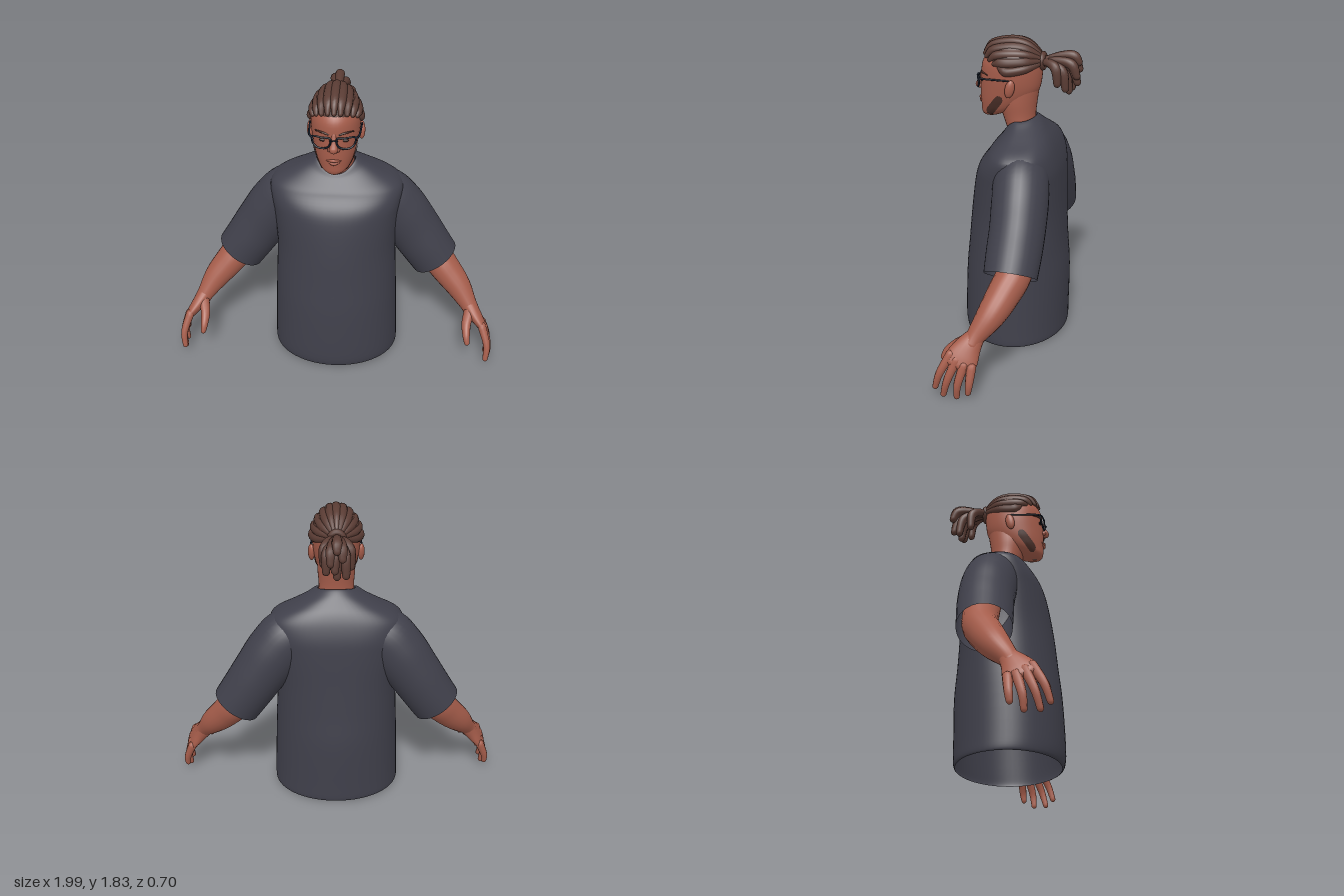
import * as THREE from 'three';

const V = (x, y, z) => new THREE.Vector3(x, y, z);
const mat = (name, color, side = THREE.FrontSide) => {
  const m = new THREE.MeshStandardMaterial({ color, side });
  m.name = name;
  return m;
};

// Catmull-Rom interpolation over rows of numbers
function spline(rows, steps) {
  const out = [], n = rows.length;
  for (let i = 0; i < n - 1; i++) {
    const [a, b, c, d] = [rows[Math.max(i - 1, 0)], rows[i], rows[i + 1], rows[Math.min(i + 2, n - 1)]];
    for (let s = 0; s < steps; s++) {
      const t = s / steps;
      out.push(b.map((_, k) => b[k] + 0.5 * t * (c[k] - a[k] + t * (2 * a[k] - 5 * b[k] + 4 * c[k] - d[k]
        + t * (3 * (b[k] - c[k]) + d[k] - a[k])))));
    }
  }
  out.push(rows[n - 1].slice());
  return out;
}

// Skin a list of closed rings of points
function skin(rings) {
  const n = rings[0].length, pos = [], idx = [];
  rings.forEach(r => r.forEach(p => pos.push(p.x, p.y, p.z)));
  for (let j = 0; j < rings.length - 1; j++) for (let i = 0; i < n; i++) {
    const a = j * n + i, b = j * n + (i + 1) % n;
    idx.push(a, b, b + n, a, b + n, a + n);
  }
  const g = new THREE.BufferGeometry();
  g.setAttribute('position', new THREE.Float32BufferAttribute(pos, 3));
  g.setIndex(idx);
  g.computeVertexNormals();
  return g;
}

// Stack of level ovals; rows are [y, halfWidth, frontZ, backZ, frontDrop, backRise, frontSquareness, backSquareness]
function stack(rows, seg = 40, steps = 4) {
  const full = rows.map(r => [...r, ...[0, 0, 2, 2].slice(r.length - 4)]);
  return skin(spline(full, steps).map(([y, hx, zf, zb, drop, rise, pf, pb]) =>
    Array.from({ length: seg }, (_, i) => {
      const a = i / seg * Math.PI * 2, c = Math.cos(a), s = -Math.sin(a), e = 2 / (s > 0 ? pf : pb);
      return V(hx * Math.sign(c) * Math.abs(c) ** e, y + (s > 0 ? -drop * s * s : rise * s * s),
        (zf + zb) / 2 + Math.sign(s) * Math.abs(s) ** e * (zf - zb) / 2);
    })));
}

// Tapered tube; rows are [x, y, z, radiusAlongSide, otherRadius]
function limb(rows, side = V(0, 0, 1), seg = 12, steps = 5, capped = true) {
  const pts = spline(rows.map(r => r.length < 5 ? [...r, r[3]] : r), steps);
  const at = i => V(pts[i][0], pts[i][1], pts[i][2]);
  const ring = (i, k) => {
    const w = at(Math.min(i + 1, pts.length - 1)).sub(at(Math.max(i - 1, 0))).normalize();
    const u = side.clone().addScaledVector(w, -side.dot(w)).normalize();
    const v = w.clone().cross(u), [, , , ra, rb] = pts[i];
    const c = at(i).addScaledVector(w, Math.sin(k) * Math.min(ra, rb));
    return Array.from({ length: seg }, (_, j) => {
      const a = j / seg * Math.PI * 2, q = Math.cos(k);
      return c.clone().addScaledVector(u, ra * q * Math.cos(a)).addScaledVector(v, rb * q * Math.sin(a));
    });
  };
  const rings = pts.map((_, i) => ring(i, 0));
  if (capped) for (const k of [0.5, 1, 1.35, Math.PI / 2]) {
    rings.unshift(ring(0, -k));
    rings.push(ring(pts.length - 1, k));
  }
  return skin(rings);
}

function mirrored(geo) {
  const g = geo.clone().scale(-1, 1, 1), ix = g.index.array;
  for (let i = 0; i < ix.length; i += 3) [ix[i], ix[i + 1]] = [ix[i + 1], ix[i]];
  g.computeVertexNormals();
  return g;
}

function ball(x, y, z, rx, ry, rz) {
  return new THREE.SphereGeometry(1, 20, 14).scale(rx, ry, rz).translate(x, y, z);
}

export function createModel() {
  const root = new THREE.Group();
  root.name = 'figure';
  const shirt = mat('charcoal cloth', 0x40404b, THREE.DoubleSide);
  const skinTone = mat('skin', 0xa65d4b);
  const hair = mat('brown hair', 0x5a3c34);
  const beard = mat('dark beard', 0x4a2f28, THREE.DoubleSide);
  const frame = mat('navy frame', 0x18202e);
  const eyeDark = mat('dark eye', 0x35241f);
  const add = (name, geo, m) => {
    const mesh = new THREE.Mesh(geo, m);
    mesh.name = name;
    root.add(mesh);
  };
  const pair = (name, geo, m) => {
    add('left' + name, geo, m);
    add('right' + name, mirrored(geo), m);
  };

  // Loose shirt with an open hem and collar
  add('shirtBody', stack([
    [0.012, 0.385, 0.325, -0.28], [0.03, 0.392, 0.342, -0.29], [0.12, 0.39, 0.35, -0.292],
    [0.4, 0.38, 0.34, -0.295], [0.6, 0.37, 0.32, -0.278, 0, 0, 2, 2.2], [0.8, 0.362, 0.3, -0.265, 0, 0, 2, 2.5],
    [1.0, 0.375, 0.268, -0.255, 0, 0, 2.2, 2.9], [1.1, 0.388, 0.235, -0.245, 0, 0, 2.4, 3.1],
    [1.18, 0.392, 0.185, -0.22, 0.01, 0.01, 2.5, 3], [1.225, 0.35, 0.165, -0.19, 0.025, 0.03, 2.4, 2.8],
    [1.27, 0.265, 0.14, -0.155, 0.04, 0.035, 2.2, 2.5], [1.32, 0.175, 0.11, -0.12, 0.055, 0.03],
    [1.355, 0.12, 0.095, -0.092, 0.07, 0.02], [1.345, 0.108, 0.085, -0.082, 0.07, 0.02]], 64), shirt);
  pair('Sleeve', limb([
    [0.12, 1.13, -0.03, 0.11, 0.09], [0.26, 1.085, -0.055, 0.155, 0.163], [0.36, 0.98, -0.072, 0.163, 0.174],
    [0.46, 0.84, -0.08, 0.16, 0.165], [0.54, 0.72, -0.078, 0.158, 0.158],
    [0.613, 0.612, -0.075, 0.152, 0.152]], V(0, 0, 1), 32, 6, false), shirt);

  // Arms and hands
  pair('Arm', limb([
    [0.46, 0.84, -0.09, 0.1], [0.59, 0.65, -0.1, 0.1], [0.68, 0.54, -0.055, 0.095],
    [0.77, 0.44, 0, 0.08], [0.84, 0.345, 0.065, 0.054], [0.865, 0.305, 0.085, 0.05]], V(0, 0, 1), 20), skinTone);
  const across = V(0, 0.39, 0.92);
  pair('Palm', limb([
    [0.835, 0.35, 0.06, 0.05, 0.048], [0.875, 0.3, 0.095, 0.072, 0.044],
    [0.915, 0.25, 0.12, 0.09, 0.034], [0.94, 0.215, 0.132, 0.088, 0.026]], across, 20), skinTone);
  const fingers = {
    IndexFinger: [[0.925, 0.265, 0.185], [0.96, 0.16, 0.24], [0.957, 0.07, 0.268]],
    MiddleFinger: [[0.938, 0.24, 0.15], [0.972, 0.125, 0.195], [0.965, 0.032, 0.22]],
    RingFinger: [[0.942, 0.215, 0.108], [0.974, 0.11, 0.135], [0.968, 0.03, 0.143]],
    LittleFinger: [[0.938, 0.205, 0.065], [0.973, 0.12, 0.07], [0.977, 0.068, 0.076]],
  };
  for (const [name, path] of Object.entries(fingers))
    pair(name, limb(path.map((p, i) => [...p, [0.027, 0.022, 0.017][i]]), across, 10), skinTone);
  pair('Thumb', limb([[0.85, 0.325, 0.1, 0.036], [0.828, 0.275, 0.175, 0.03], [0.828, 0.225, 0.232, 0.023],
    [0.834, 0.185, 0.256, 0.017]], across, 12), skinTone);

  // Head and neck
  add('neck', stack([[1.2, 0.13, 0.07, -0.1], [1.29, 0.109, 0.088, -0.085], [1.37, 0.104, 0.115, -0.08],
    [1.45, 0.11, 0.14, -0.088], [1.53, 0.11, 0.14, -0.1]], 32), skinTone);
  const headRows = [
    [1.36, 0.005, 0.2, 0.18], [1.363, 0.035, 0.228, 0.15], [1.385, 0.072, 0.242, 0.09], [1.42, 0.098, 0.245, 0],
    [1.47, 0.117, 0.248, -0.06], [1.53, 0.13, 0.248, -0.102], [1.6, 0.139, 0.244, -0.117],
    [1.68, 0.14, 0.236, -0.12], [1.74, 0.12, 0.2, -0.108], [1.79, 0.075, 0.15, -0.06], [1.81, 0.01, 0.07, 0.04]];
  add('head', stack(headRows), skinTone);
  const headX = (y, z) => {
    const i = Math.max(1, headRows.findIndex(r => r[0] > y)), a = headRows[i - 1], b = headRows[i];
    const t = (y - a[0]) / (b[0] - a[0]);
    const [, hx, f, k] = a.map((v, j) => v + (b[j] - v) * t), q = (z - (f + k) / 2) / ((f - k) / 2);
    return hx * Math.sqrt(Math.max(0, 1 - q * q));
  };
  const X = V(1, 0, 0), Y = V(0, 1, 0);
  add('nose', limb([[0, 1.62, 0.23, 0.015], [0, 1.575, 0.245, 0.018], [0, 1.54, 0.26, 0.025, 0.023]], X, 14), skinTone);
  pair('Nostril', ball(0.022, 1.535, 0.248, 0.013, 0.013, 0.017), skinTone);
  add('upperLip', limb([[-0.04, 1.459, 0.235, 0.004], [0, 1.465, 0.252, 0.009], [0.04, 1.459, 0.235, 0.004]], Y, 10), skinTone);
  add('lowerLip', limb([[-0.035, 1.453, 0.236, 0.004], [0, 1.446, 0.25, 0.01], [0.035, 1.453, 0.236, 0.004]], Y, 10), skinTone);
  pair('Ear', ball(0, 0, 0, 0.019, 0.053, 0.028).rotateY(0.3).rotateX(-0.2).translate(0.145, 1.555, 0.042), skinTone);
  pair('Eye', ball(0.06, 1.583, 0.226, 0.022, 0.009, 0.007), eyeDark);
  pair('Eyebrow', limb([[0.028, 1.62, 0.236, 0.005], [0.065, 1.628, 0.224, 0.006], [0.105, 1.62, 0.184, 0.004]], Y, 8), beard);

  // Beard strip wrapped on each side of the jaw
  const patch = new THREE.PlaneGeometry(1, 1, 14, 4), pp = patch.attributes.position;
  for (let i = 0; i < pp.count; i++) {
    const t = pp.getX(i) + 0.5, w = pp.getY(i) * (1 - 0.7 * (2 * t - 1) ** 8);
    const y = 1.383 + 0.118 * t + w * 0.033, z = 0.19 - 0.092 * t + w * 0.039;
    pp.setXYZ(i, headX(y, z) + 0.006, y, z);
  }
  patch.computeVertexNormals();
  pair('Beard', patch, beard);

  // Glasses
  const rim = new THREE.CatmullRomCurve3([
    V(0.018, 1.605, 0.255), V(0.065, 1.611, 0.252), V(0.118, 1.608, 0.234), V(0.115, 1.57, 0.234),
    V(0.092, 1.547, 0.243), V(0.045, 1.546, 0.252), V(0.022, 1.565, 0.255)], true);
  pair('Rim', new THREE.TubeGeometry(rim, 48, 0.0055, 8, true), frame);
  pair('Temple', limb([[0.119, 1.605, 0.234, 0.006], [0.138, 1.605, 0.2, 0.006], [0.147, 1.602, 0.05, 0.005]], Y, 8), frame);
  add('glassesBridge', limb([[-0.019, 1.592, 0.255, 0.005], [0, 1.598, 0.265, 0.005], [0.019, 1.592, 0.255, 0.005]], Y, 8), frame);

  // Swept-back locks over a hair cap
  add('hairCap', new THREE.SphereGeometry(1, 32, 12, 0, Math.PI * 2, 0, 1.45)
    .scale(0.139, 0.143, 0.168).translate(0, 1.68, 0.055), hair);
  const count = 11;
  for (let i = 0; i < count; i++) {
    const f = (i / (count - 1) * 2 - 1) * 1.68, s = Math.sin(f), c = Math.cos(f), n = s * (1 - 0.18 * c);
    add('hairLock', limb([
      [0.13 * n, 1.678 + 0.06 * c, 0.115 + 0.102 * c, 0.014], [0.138 * n, 1.672 + 0.122 * c, 0.09 + 0.08 * c, 0.02, 0.025],
      [0.139 * n, 1.668 + 0.151 * c, 0.05, 0.02, 0.026], [0.11 * n, 1.68 + 0.118 * c, -0.04, 0.02, 0.024],
      [0.036 * s, 1.695 + 0.035 * c, -0.115, 0.015]], V(s, c, 0.01), 10, 6), hair);
  }

  // Tied tail of loose locks
  add('hairTie', new THREE.TorusGeometry(0.038, 0.018, 10, 24).translate(0, 1.697, -0.122), hair);
  const tips = [[0, 1.7, -0.33], [0.035, 1.625, -0.325], [-0.03, 1.655, -0.33], [0.012, 1.585, -0.325],
    [0.06, 1.555, -0.265], [-0.05, 1.54, -0.285], [0, 1.53, -0.275], [-0.08, 1.565, -0.21], [0.075, 1.585, -0.22]];
  for (const [x, y, z] of tips)
    add('tailLock', limb([
      [x * 0.25, 1.695, -0.11, 0.018], [x * 0.65, 1.7 + (y - 1.6) * 0.3, z * 0.45 - 0.07, 0.025],
      [x * 0.95, 1.675 + (y - 1.6) * 0.6, z * 0.8 - 0.035, 0.029], [x, y, z, 0.022]], X, 10, 6), hair);

  return root;
}
